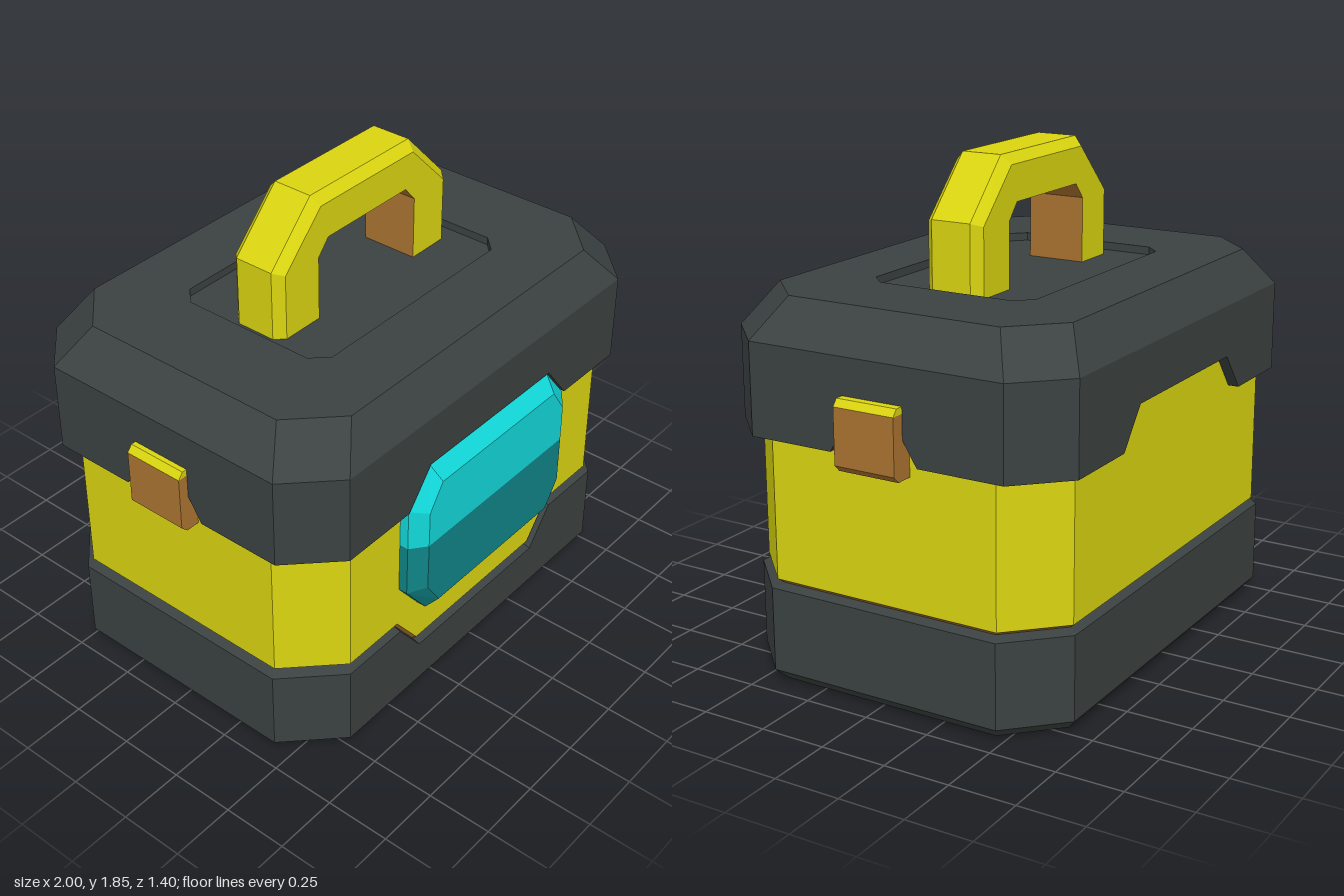
import * as THREE from 'three';

const mat = (name, color) => Object.assign(new THREE.MeshStandardMaterial({ color, flatShading: true }), { name });

// Skins a stack of rings (arrays of [x, y, z]) with flat faces.
function loft(rings, { closed = true, caps = true } = {}) {
  const pos = [];
  const tri = (a, b, c) => pos.push(...a, ...b, ...c);
  const n = rings[0].length;
  for (let r = 0; r < rings.length - 1; r++) {
    for (let i = 0; i < (closed ? n : n - 1); i++) {
      const j = (i + 1) % n;
      const a = rings[r][i], b = rings[r][j], c = rings[r + 1][j], d = rings[r + 1][i];
      tri(a, b, c);
      tri(a, c, d);
    }
  }
  if (caps) {
    const first = rings[0], last = rings[rings.length - 1];
    for (let i = 1; i < n - 1; i++) {
      tri(first[0], first[i + 1], first[i]);
      tri(last[0], last[i], last[i + 1]);
    }
  }
  const g = new THREE.BufferGeometry();
  g.setAttribute('position', new THREE.Float32BufferAttribute(pos, 3));
  g.computeVertexNormals();
  return g;
}

// Chamfered rectangle at height y; notch lifts the middle of each side (front, right, back, left).
function outline(hx, hz, c, y, notch = [0, 0, 0, 0]) {
  const pts = [];
  for (let s = 0; s < 4; s++) {
    const [len, dist] = s % 2 ? [hz, hx] : [hx, hz];
    const [wide, narrow] = s % 2 ? [0.175, 0.085] : [0.465, 0.35];
    const u = len - c;
    for (const [t0, k] of [[-u, 0], [-wide, 0], [-narrow, 1], [narrow, 1], [wide, 0], [u, 0]]) {
      const t = Math.max(-u, Math.min(u, t0));
      const [x, z] = [[t, dist], [dist, -t], [-t, -dist], [-dist, t]][s];
      pts.push([x, y + k * notch[s], z]);
    }
  }
  return pts;
}

export function createModel() {
  const dark = mat('charcoal', 0x3b4241);
  const yellow = mat('yellow', 0xdad510);
  const brown = mat('copper brown', 0xac7430);
  const teal = mat('bright teal', 0x12d8da);
  const deepTeal = mat('deep teal', 0x0f8486);

  const model = new THREE.Group();
  model.name = 'toolCase';
  const box = new THREE.Group();
  box.name = 'case';
  box.position.set(-0.006, 0, -0.018);
  model.add(box);
  const add = (name, geometry, material, parent = box) => {
    const m = new THREE.Mesh(geometry, material);
    m.name = name;
    parent.add(m);
    return m;
  };

  // Base tray with a dip in the front rim
  const dip = [-0.145, 0, 0, 0];
  add('base', loft([
    outline(0.892, 0.617, 0.18, 0),
    outline(0.937, 0.655, 0.193, 0.045),
    outline(0.937, 0.655, 0.193, 0.36, dip),
    outline(0.87, 0.595, 0.18, 0.378, dip),
  ], {}), dark);

  // Body, with a thin brown bevel under it
  const bodyFoot = outline(0.915, 0.64, 0.187, 0.388, dip);
  add('bodyTrim', loft([outline(0.885, 0.61, 0.18, 0.362, dip), bodyFoot], { caps: false }), brown);
  add('body', loft([bodyFoot, outline(0.915, 0.64, 0.187, 1.2)], { caps: false }), yellow);

  // Lid with notched skirt, sloped shoulders and a sunken panel on top
  const cut = [0.145, 0.145, 0.145, 0.145];
  add('lid', loft([
    outline(0.88, 0.605, 0.18, 0.92, cut),
    outline(0.955, 0.682, 0.175, 0.92, cut),
    outline(0.955, 0.682, 0.175, 1.26),
    outline(0.835, 0.592, 0.17, 1.405),
    outline(0.51, 0.33, 0.06, 1.405),
    outline(0.51, 0.33, 0.06, 1.375),
  ]), dark);

  // Front screen: bright upper half and deep lower half
  const split = 0.755;
  const halfRings = (top) => {
    const ring = (w, wn, ySide, yEnd, z) => {
      const p = [[-w, split, z], [w, split, z], [w, ySide, z], [wn, yEnd, z], [-wn, yEnd, z], [-w, ySide, z]];
      return top ? p : p.reverse();
    };
    const [s, e, s2, e2] = top ? [0.92, 1.058, 0.9, 1.0] : [0.55, 0.41, 0.565, 0.465];
    return [ring(0.46, 0.348, s, e, 0.6), ring(0.46, 0.348, s, e, 0.675), ring(0.4, 0.332, s2, e2, 0.722)];
  };
  add('screenUpper', loft(halfRings(true)), teal);
  add('screenLower', loft(halfRings(false)), deepTeal);

  // Handle: bevelled arch, brown on its inner faces
  const half = [
    // outer, bevel and inner points
    [[0.468, 1.36], [0.435, 1.36], [0.264, 1.36]],
    [[0.468, 1.64], [0.435, 1.627], [0.264, 1.62]],
    [[0.265, 1.85], [0.25, 1.815], [0.212, 1.68]],
  ];
  const stations = [
    ...half.map((s) => s.map(([x, y]) => [-x, y])),
    ...half.slice().reverse(),
  ];
  const hz = 0.113, bz = 0.078;
  const handle = new THREE.Group();
  handle.name = 'handle';
  box.add(handle);
  add('handleShell', loft(stations.map(([o, b, i]) => [
    [...i, -hz], [...b, -hz], [...o, -bz], [...o, bz], [...b, hz], [...i, hz],
  ].reverse()), { closed: false, caps: false }), yellow, handle);
  add('handleInside', loft(stations.map(([, , i]) => [[...i, -hz], [...i, hz]].reverse()),
    { closed: false, caps: false }), brown, handle);
  // Both skins are open strips
  yellow.side = brown.side = THREE.DoubleSide;

  // Side clasps with a yellow cap
  const extrude = (pts) => new THREE.ExtrudeGeometry(
    new THREE.Shape(pts.map(([x, y]) => new THREE.Vector2(x, y))),
    { depth: 0.24, bevelEnabled: false },
  ).translate(0, 0, -0.12);
  for (const side of [1, -1]) {
    const clasp = new THREE.Group();
    clasp.name = side > 0 ? 'leftClasp' : 'rightClasp';
    clasp.position.z = -0.018;
    clasp.rotation.y = side > 0 ? 0 : Math.PI;
    add('claspPlate', extrude([[0.9, 0.87], [0.975, 0.87], [1, 0.895], [1, 1.1], [0.9, 1.1]]), brown, clasp);
    add('claspCap', extrude([[0.93, 1.1], [1, 1.1], [0.98, 1.125], [0.93, 1.125]]), yellow, clasp);
    model.add(clasp);
  }
  return model;
}
